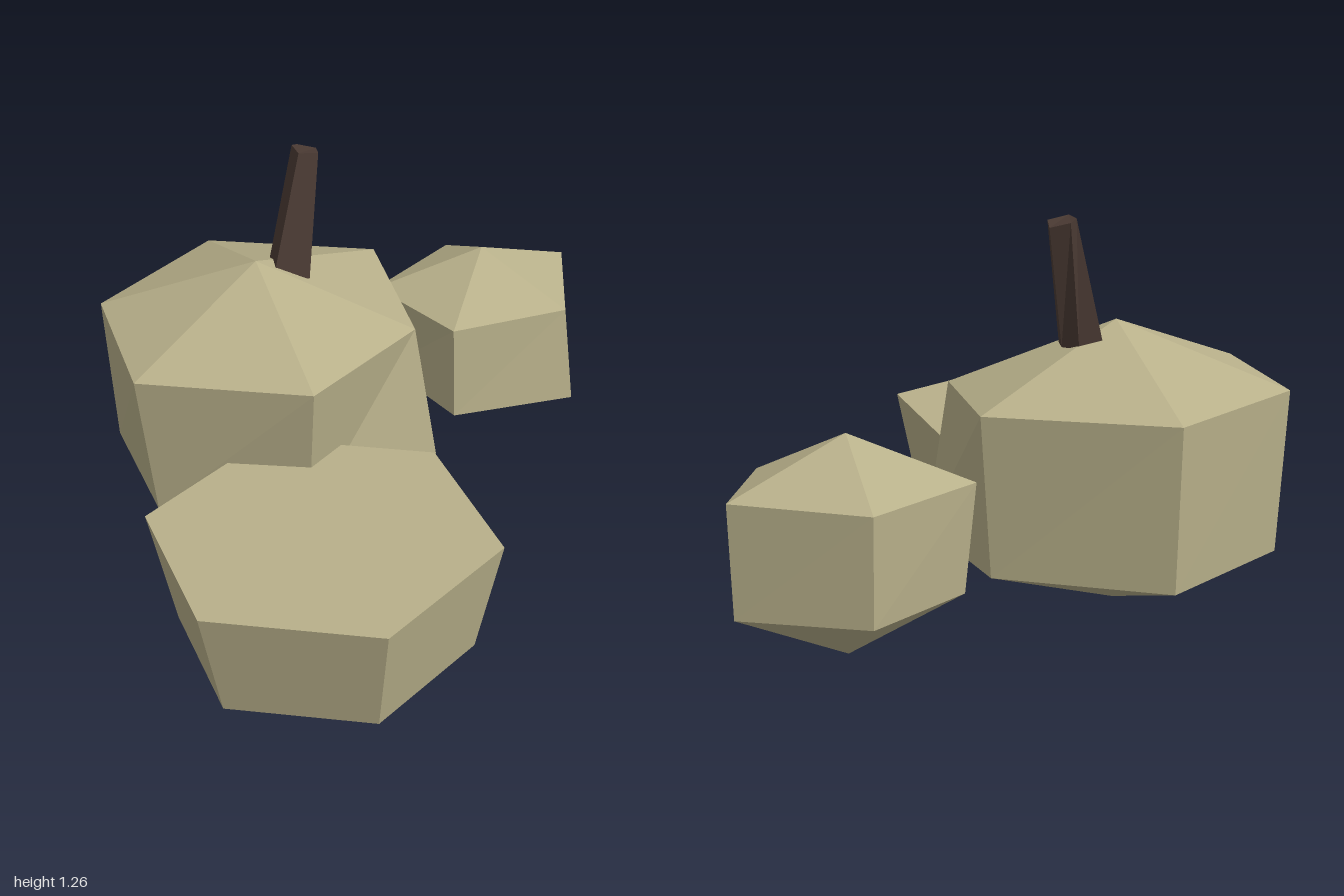
import * as THREE from 'three';

// Faceted solid from stacked rings (bottom to top); a one-point ring is a tip.
function loft(rings, sides) {
  const pos = [];
  const at = (ring, i) => ring[i % ring.length];
  const tri = (a, b, c) => {
    if (a !== b && b !== c && c !== a) pos.push(...a, ...b, ...c);
  };
  for (let r = 0; r < rings.length - 1; r++) {
    for (let i = 0; i < sides; i++) {
      const a = at(rings[r], i), b = at(rings[r], i + 1);
      const c = at(rings[r + 1], i + 1), d = at(rings[r + 1], i);
      tri(a, b, c);
      tri(a, c, d);
    }
  }
  // flat caps where the end rings are not tips
  const low = rings[0], high = rings[rings.length - 1];
  for (let i = 1; i < low.length - 1; i++) tri(low[0], low[i + 1], low[i]);
  for (let i = 1; i < high.length - 1; i++) tri(high[0], high[i], high[i + 1]);
  const geo = new THREE.BufferGeometry();
  geo.setAttribute('position', new THREE.Float32BufferAttribute(pos, 3));
  geo.computeVertexNormals();
  return geo;
}

export function createModel() {
  const group = new THREE.Group();
  const rind = new THREE.MeshStandardMaterial({ color: 0xb8b08a, flatShading: true });
  rind.name = 'pale rind';
  const bark = new THREE.MeshStandardMaterial({ color: 0x4a3a33, flatShading: true });
  bark.name = 'dark stem';

  const add = (name, geometry, material) => {
    const mesh = new THREE.Mesh(geometry, material);
    mesh.name = name;
    group.add(mesh);
    return mesh;
  };

  // Large six-sided gourd, rings run counter-clockwise seen from above
  add('largeGourd', loft([
    [[-0.36, 0.01, -0.435]],
    [[-0.36, 0.205, 0.05], [0.175, 0.2, -0.15], [0.125, 0.21, -0.7],
      [-0.36, 0.2, -0.97], [-0.81, 0.2, -0.68], [-0.81, 0.2, -0.18]],
    [[-0.36, 0.72, 0.13], [0.11, 0.693, -0.185], [0.165, 0.72, -0.72],
      [-0.36, 0.72, -1], [-0.835, 0.72, -0.695], [-0.865, 0.712, -0.165]],
    [[-0.36, 0.92, -0.435]],
  ], 6), rind);

  // Leaning, tapered stem
  add('stem', loft([
    [[-0.31, 0.85, -0.41], [-0.19, 0.845, -0.385], [-0.17, 0.85, -0.47],
      [-0.21, 0.85, -0.52], [-0.29, 0.85, -0.52]],
    [[-0.185, 1.262, -0.48], [-0.115, 1.25, -0.485], [-0.1, 1.237, -0.55],
      [-0.16, 1.252, -0.57], [-0.185, 1.262, -0.55]],
  ], 5), bark);

  // Small five-sided gourd
  add('smallGourd', loft([
    [[0.555, 0, -0.655]],
    [[0.34, 0.18, -0.38], [0.795, 0.165, -0.36], [0.915, 0.18, -0.76],
      [0.555, 0.19, -0.975], [0.225, 0.195, -0.765]],
    [[0.34, 0.52, -0.395], [0.77, 0.52, -0.39], [0.93, 0.535, -0.765],
      [0.555, 0.53, -0.985], [0.19, 0.535, -0.765]],
    [[0.555, 0.685, -0.655]],
  ], 5), rind);

  // Cut half with a flat top, widening upwards
  const half = add('cutGourd', new THREE.CylinderGeometry(0.566, 0.48, 0.39, 6), rind);
  half.position.set(-0.445, 0.225, 0.432);

  return group;
}
